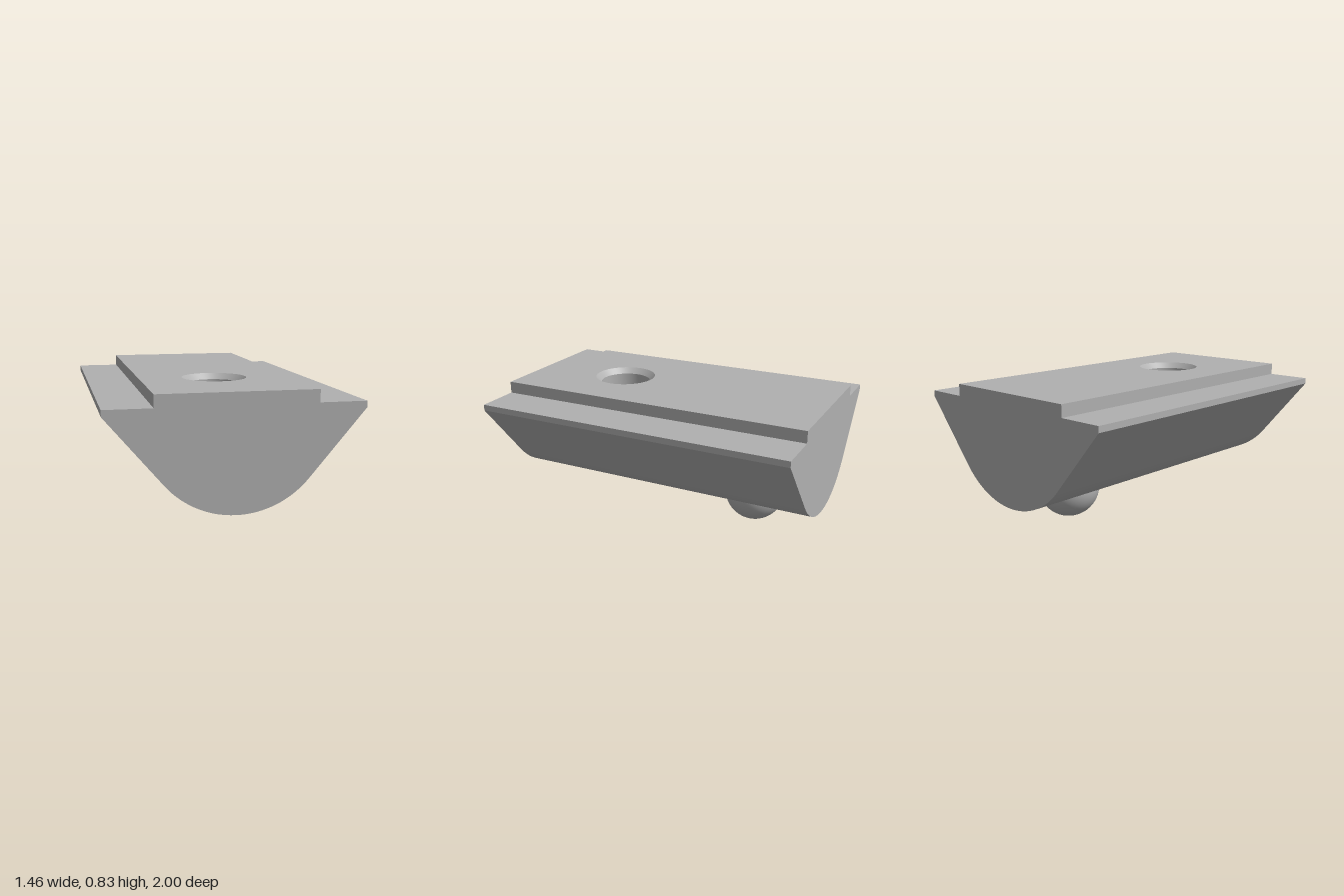
import * as THREE from 'three';
import { mergeGeometries } from 'three/addons/utils/BufferGeometryUtils.js';

const R = 0.53, CY = 0.68;          // rounded underside: radius and centre height
const TOP = 0.83, HALF = 0.455;     // raised rib
const HOLE = 0.16, RIM = 0.195, HZ = 0.4;
const END = 0.4;                    // where the arc meets the flat flanks
const SEG = 24;

const v = (x, y, z) => new THREE.Vector3(x, y, z);
const arcY = x => CY - Math.sqrt(R * R - x * x);

// Quads between two rows of points; flat unless a normal rule is given
function strip(a, b, normalAt) {
  const pts = [];
  for (let i = 0; i < a.length - 1; i++) {
    pts.push(a[i], a[i + 1], b[i + 1], a[i], b[i + 1], b[i]);
  }
  const g = new THREE.BufferGeometry().setFromPoints(pts);
  g.computeVertexNormals();
  if (normalAt) {
    pts.forEach((p, i) => {
      const n = normalAt(p).normalize();
      g.attributes.normal.setXYZ(i, n.x, n.y, n.z);
    });
  }
  return g;
}

// Lengthwise sheet over the given x positions, interrupted by a round opening
function piercedSheet(xs, yAt, r, normalAt) {
  const gap = x => Math.sqrt(Math.max(0, r * r - x * x));
  const row = zAt => xs.map(x => v(x, yAt(x), zAt(x)));
  return [
    strip(row(() => -1), row(x => HZ - gap(x)), normalAt),
    strip(row(x => HZ + gap(x)), row(() => 1), normalAt),
  ];
}

// x positions across an opening, from -r to r
const across = r => Array.from({ length: SEG + 1 }, (_, i) => -r * Math.cos(Math.PI * i / SEG));

export function createModel() {
  const steel = new THREE.MeshStandardMaterial({ color: 0xb0b0b0 });
  steel.name = 'grey steel';
  const group = new THREE.Group();
  const add = (name, geometry) => {
    const mesh = new THREE.Mesh(geometry, steel);
    mesh.name = name;
    group.add(mesh);
    return mesh;
  };

  // Rounded underside
  const a0 = Math.asin(HOLE / R), a1 = Math.asin(END / R), n = 10;
  const outer = Array.from({ length: n }, (_, i) => R * Math.sin(a1 + (a0 - a1) * i / n));
  const xs = [...outer.map(x => -x), ...across(HOLE), ...outer.slice().reverse()];
  add('underside', mergeGeometries(piercedSheet(xs, arcY, HOLE, p => v(p.x, p.y - CY, 0))));

  // Raised top face
  const topXs = [HALF, ...across(RIM).reverse(), -HALF];
  add('topFace', mergeGeometries(piercedSheet(topXs, () => TOP, RIM)));

  // Flanks, lips and steps on both sides
  const side = [[END, arcY(END)], [0.728, 0.72], [0.728, 0.757], [HALF, 0.757], [HALF, TOP]];
  const mirrored = side.map(([x, y]) => [-x, y]).reverse();
  for (const [name, pts] of [['leftFlank', side], ['rightFlank', mirrored]]) {
    add(name, strip(pts.map(([x, y]) => v(x, y, -1)), pts.map(([x, y]) => v(x, y, 1))));
  }

  // End faces
  const outline = [...xs.map(x => [x, arcY(x)]), ...side.slice(1), ...mirrored.slice(0, -1)];
  const profile = new THREE.Shape(outline.map(([x, y]) => new THREE.Vector2(x, y)));
  add('frontEnd', new THREE.ShapeGeometry(profile).translate(0, 0, 1));
  add('backEnd', new THREE.ShapeGeometry(profile).translate(0, 0, 1).rotateY(Math.PI));

  // Through hole with a chamfered mouth
  const ring = (r, yAt) => Array.from({ length: 2 * SEG + 1 }, (_, i) => {
    const t = Math.PI * i / SEG, x = r * Math.cos(t);
    return v(x, yAt(x), HZ + r * Math.sin(t));
  });
  const mouth = TOP - (RIM - HOLE);
  add('holeWall', strip(ring(HOLE, arcY), ring(HOLE, () => mouth), p => v(-p.x, 0, HZ - p.z)));
  add('holeChamfer', strip(ring(HOLE, () => mouth), ring(RIM, () => TOP), p => {
    const inward = v(-p.x, 0, HZ - p.z).normalize();
    return inward.setY(1);
  }));

  // Ball set into the underside
  add('ball', new THREE.SphereGeometry(0.19, 48, 32)).position.set(0, 0.19, -0.545);

  return group;
}
